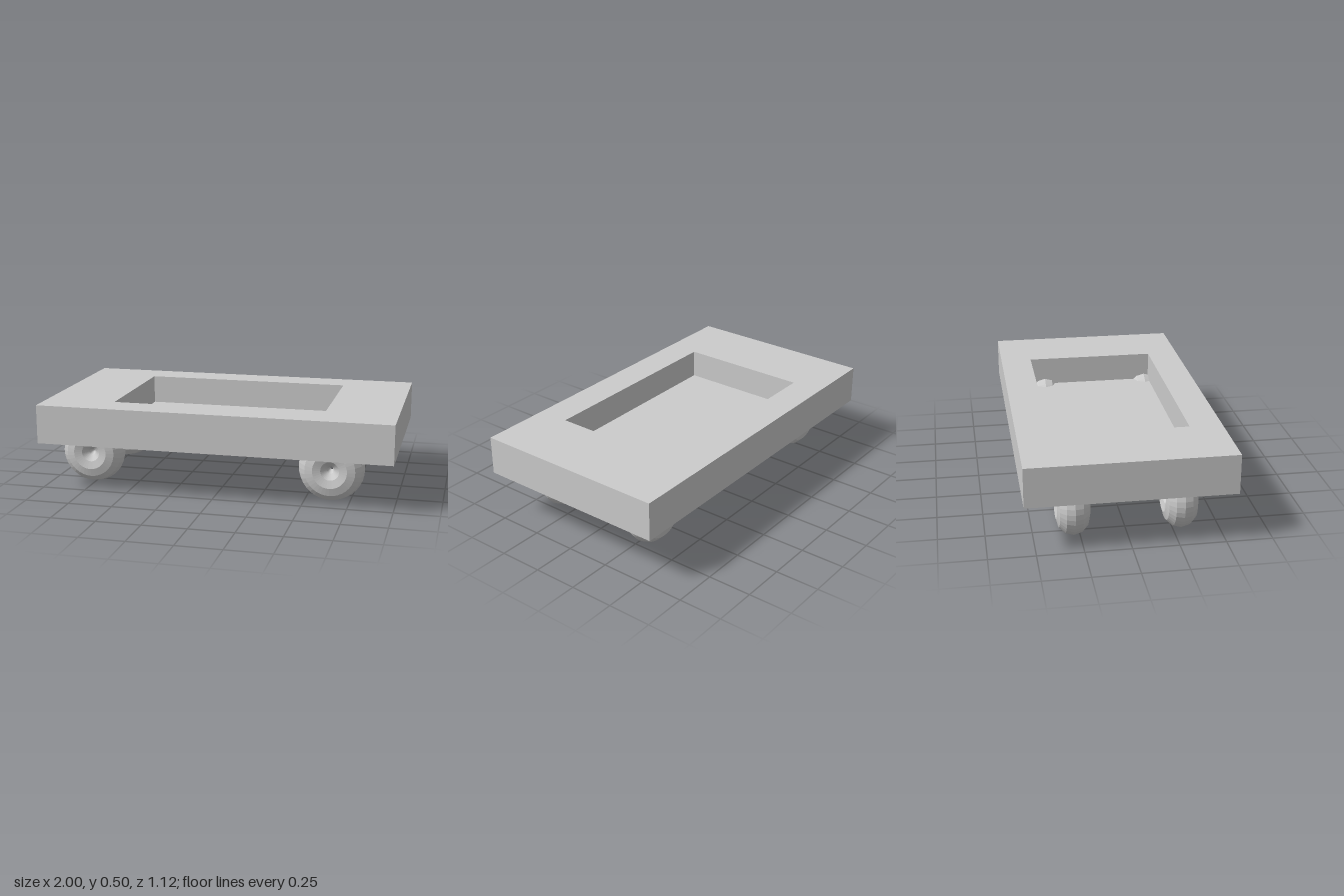
import * as THREE from 'three';

const grey = new THREE.MeshStandardMaterial({ color: 0xcccccc, flatShading: true });

function part(name, geometry, x, y, z) {
  const mesh = new THREE.Mesh(geometry, grey);
  mesh.name = name;
  mesh.position.set(x, y, z);
  return mesh;
}

// Traces a centred rectangle onto a shape or hole path
function rectangle(path, halfX, halfZ) {
  return path.moveTo(-halfX, -halfZ).lineTo(halfX, -halfZ)
    .lineTo(halfX, halfZ).lineTo(-halfX, halfZ).closePath();
}

export function createModel() {
  const model = new THREE.Group();
  model.name = 'cart';

  const bottom = 0.28, top = 0.5, floorTop = 0.335;
  const recessX = 0.6, recessZ = 0.376;

  // Thick deck with a rectangular recess
  const outline = rectangle(new THREE.Shape(), 1, 0.558);
  outline.holes.push(rectangle(new THREE.Path(), recessX, recessZ));
  const frame = new THREE.ExtrudeGeometry(outline, { depth: top - bottom, bevelEnabled: false });
  frame.rotateX(-Math.PI / 2);
  model.add(part('deckFrame', frame, 0, bottom, 0));

  // Floor closing the recess
  const floor = new THREE.BoxGeometry(recessX * 2, floorTop - bottom, recessZ * 2);
  model.add(part('recessFloor', floor, 0, (bottom + floorTop) / 2, 0));

  // Fat ring wheels; the front left one stands slightly further out
  const wheel = new THREE.TorusGeometry(0.096, 0.088, 12, 36);
  const wheels = [
    ['frontLeftWheel', 0.643, 0.348],
    ['frontRightWheel', -0.76, 0.288],
    ['backLeftWheel', 0.643, -0.288],
    ['backRightWheel', -0.76, -0.288],
  ];
  for (const [name, x, z] of wheels) model.add(part(name, wheel, x, 0.188, z));

  return model;
}
